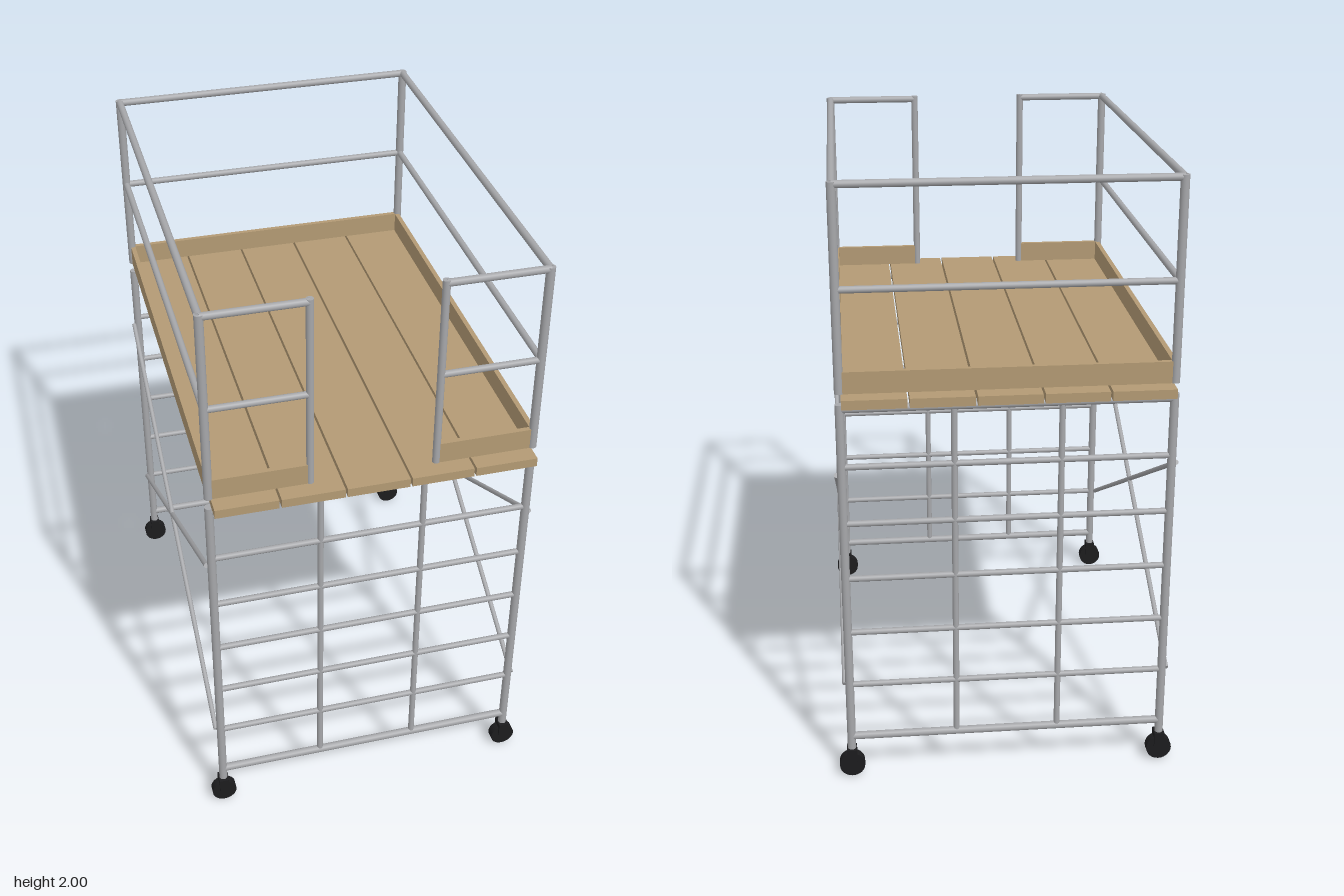
import * as THREE from 'three';

const steel = new THREE.MeshStandardMaterial({ color: 0xa6a7aa });
steel.name = 'steel';
const wood = new THREE.MeshStandardMaterial({ color: 0xb39a74 });
wood.name = 'wood';
const rubber = new THREE.MeshStandardMaterial({ color: 0x1c1c1e });
rubber.name = 'rubber';

const X = 0.515, Z = 0.72;      // corner post positions
const DECK = 1.35, TOP = 1.988; // deck surface and top rail heights
const SIDES = [-1, 1];

export function createModel() {
  const model = new THREE.Group();
  model.name = 'scaffoldTower';

  const add = (name, geometry, material, x, y, z) => {
    const mesh = new THREE.Mesh(geometry, material);
    mesh.name = name;
    mesh.position.set(x, y, z);
    model.add(mesh);
    return mesh;
  };
  const box = (name, material, w, h, d, x, y, z) =>
    add(name, new THREE.BoxGeometry(w, h, d), material, x, y, z);
  // Round pipe between two points
  const pipe = (name, r, a, b) => {
    const start = new THREE.Vector3(...a), end = new THREE.Vector3(...b);
    const axis = end.clone().sub(start);
    const mid = start.clone().add(end).multiplyScalar(0.5);
    const mesh = add(name, new THREE.CylinderGeometry(r, r, axis.length(), 16), steel, mid.x, mid.y, mid.z);
    mesh.quaternion.setFromUnitVectors(new THREE.Vector3(0, 1, 0), axis.normalize());
  };

  // Ladder frames at front and back
  for (const s of SIDES) {
    const z = s * Z;
    for (let i = 0; i < 7; i++) {
      const outer = i === 0 || i === 6;
      const y = i === 0 ? 0.145 : 0.34 + (i - 1) * 0.192;
      pipe(outer ? 'frameBar' : 'rung', outer ? 0.013 : 0.01, [-X, y, z], [X, y, z]);
    }
    for (const t of SIDES) {
      pipe('framePost', 0.014, [t * X, 0.1, z], [t * X, 1.315, z]);
      pipe('innerUpright', 0.01, [t * 0.167, 0.145, z], [t * 0.167, 1.3, z]);
    }
  }

  // Crossed braces on both sides
  for (const s of SIDES) {
    const x = s * 0.531;
    for (const t of SIDES)
      pipe('crossBrace', 0.008, [x, 0.34, t * 0.715], [x, 1.08, -t * 0.715]);
  }

  // Casters, rolling along x
  for (const sx of SIDES) for (const sz of SIDES) {
    const x = sx * X, z = sz * Z;
    const wheelGeometry = new THREE.CylinderGeometry(0.042, 0.042, 0.03, 24);
    wheelGeometry.rotateX(Math.PI / 2);
    add('wheel', wheelGeometry, rubber, x, 0.042, z);
    box('casterFork', rubber, 0.034, 0.052, 0.044, x, 0.074, z);
  }

  // Deck planks
  for (let i = -2; i <= 2; i++)
    box('plank', wood, 0.198, 0.03, 1.57, i * 0.205, DECK - 0.015, 0);

  // Guard rail posts and side rails
  for (const s of SIDES) {
    for (const t of SIDES)
      pipe('guardPost', 0.014, [s * X, DECK, t * Z], [s * X, TOP + 0.008, t * Z]);
    for (const [y, r] of [[1.674, 0.011], [TOP, 0.012]]) {
      pipe('sideRail', r, [s * X, y, -Z], [s * X, y, Z]);
      pipe('gateRail', r, [s * X, y, Z], [s * 0.2, y, Z]);
    }
    pipe('gatePost', 0.012, [s * 0.2, DECK, Z], [s * 0.2, TOP + 0.011, Z]);
    // Toe boards beside the deck and entrance
    box('sideToeBoard', wood, 0.016, 0.07, 2 * Z - 0.02, s * 0.511, DECK + 0.035, 0);
    box('gateToeBoard', wood, 0.31, 0.07, 0.016, s * 0.352, DECK + 0.035, Z);
  }

  // Back guard rails and toe board
  for (const [y, r] of [[1.674, 0.011], [TOP, 0.012]])
    pipe('backRail', r, [-X, y, -Z], [X, y, -Z]);
  box('backToeBoard', wood, 1.01, 0.07, 0.016, 0, DECK + 0.035, -Z);

  return model;
}
